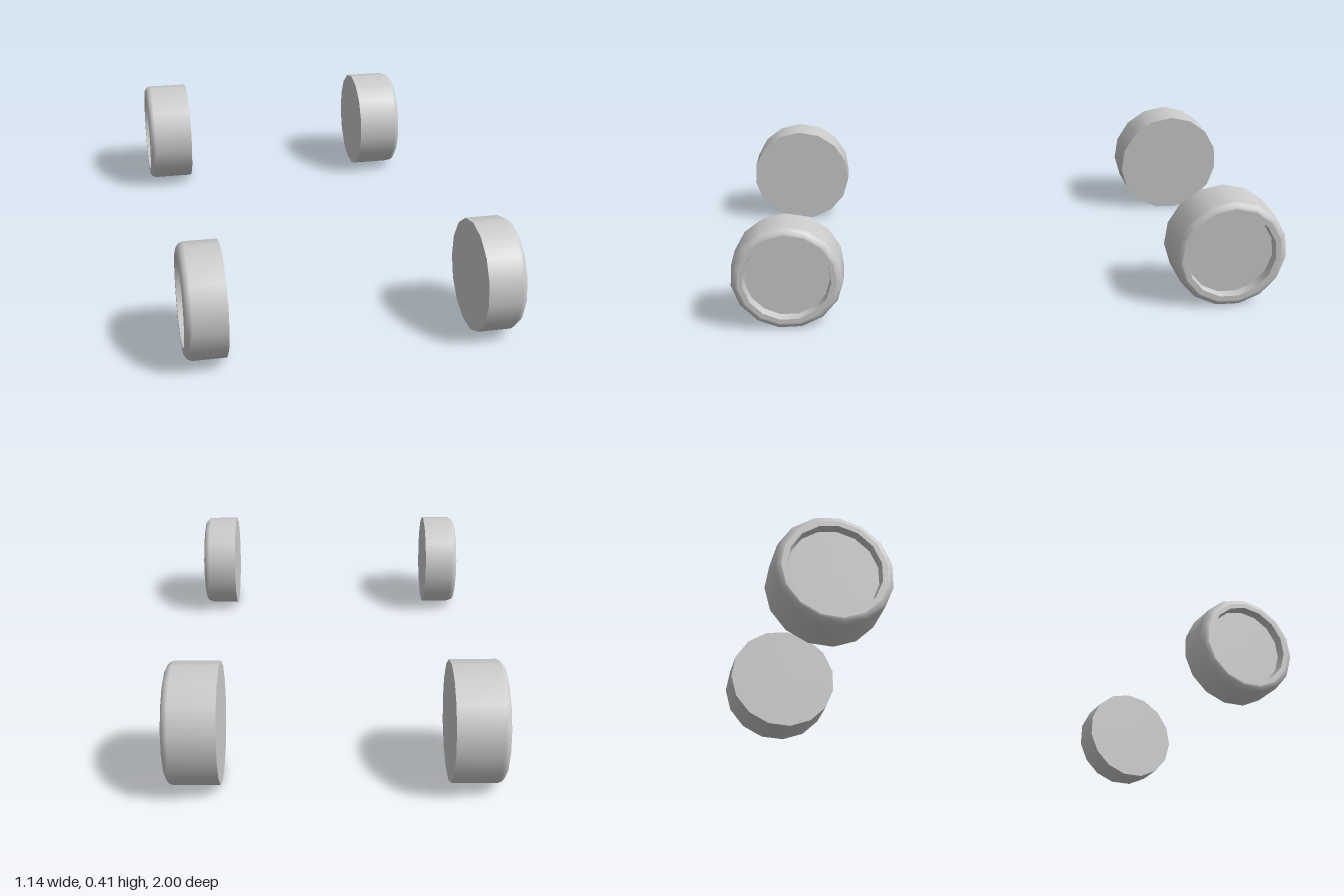
import * as THREE from 'three';

const SIDES = 15;
const material = new THREE.MeshStandardMaterial({ color: 0xcccccc });

// Turns the lathe axis (y) to +x, with one corner of the wheel at the top
const lieDown = new THREE.Matrix4().makeBasis(
  new THREE.Vector3(0, 0, 1),
  new THREE.Vector3(1, 0, 0),
  new THREE.Vector3(0, 1, 0)
);

function turned(name, points) {
  const profile = points.map(([r, h]) => new THREE.Vector2(r, h));
  const geometry = new THREE.LatheGeometry(profile, SIDES).applyMatrix4(lieDown);
  const mesh = new THREE.Mesh(geometry, material);
  mesh.name = name;
  return mesh;
}

// Wheel running along x from inner to outer; each piece keeps a sharp edge to the next
function makeWheel(radius, rim, inner, outer) {
  const wheel = new THREE.Group();
  const depth = outer - 0.032;
  wheel.add(
    turned('innerFace', [[0, inner], [radius, inner]]),
    turned('tread', [
      [radius, inner],
      [radius, outer - 0.024],
      [radius - 0.006, outer - 0.010],
      [radius - 0.016, outer - 0.002],
      [radius - 0.024, outer],
    ]),
    turned('rimFace', [[radius - 0.024, outer], [rim, outer]]),
    turned('rimWall', [[rim, outer], [rim - 0.005, depth]]),
    turned('hubFace', [[rim - 0.005, depth], [0, depth]])
  );
  return wheel;
}

export function createModel() {
  const model = new THREE.Group();
  const axles = [
    { name: 'front', radius: 0.197, rim: 0.155, inner: 0.43, outer: 0.57, z: 0.804 },
    { name: 'rear', radius: 0.209, rim: 0.165, inner: 0.385, outer: 0.566, z: -0.793 },
  ];
  for (const { name, radius, rim, inner, outer, z } of axles) {
    for (const side of [1, -1]) {
      const wheel = makeWheel(radius, rim, inner, outer);
      wheel.name = name + (side > 0 ? 'LeftWheel' : 'RightWheel');
      // Rests on the flat between the two lowest corners
      wheel.position.set(0, radius * Math.cos(Math.PI / SIDES), z);
      if (side < 0) wheel.rotation.y = Math.PI;
      model.add(wheel);
    }
  }
  return model;
}
